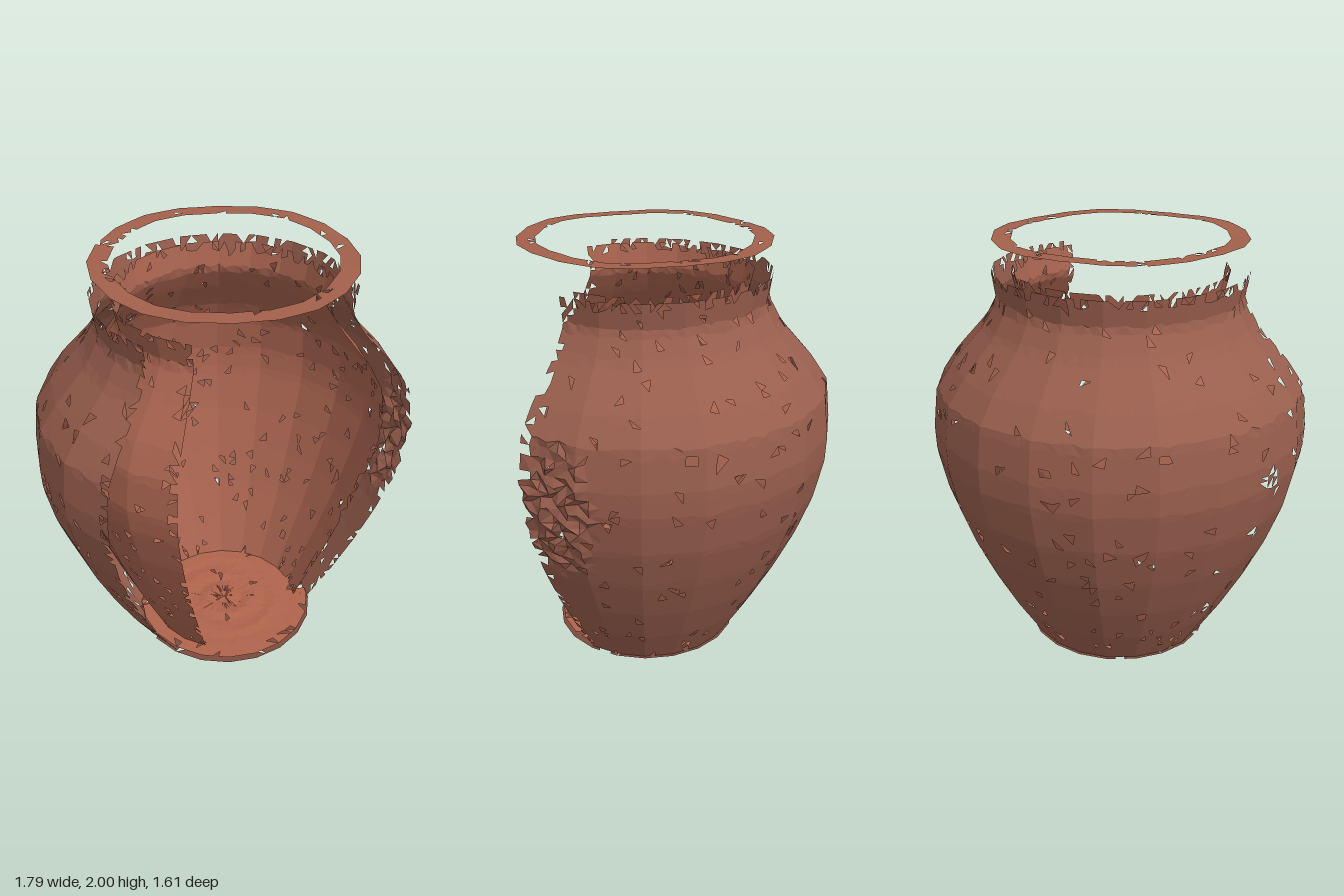
import * as THREE from 'three';

const SIDES = 20, STEP = (2 * Math.PI) / SIDES;
const AXIS_Z = 0.08; // the jar axis sits a little towards the open front

// Profiles as [radius, height], bottom to top
const OUTER = [[0.44, 0.01], [0.56, 0.2], [0.67, 0.4], [0.765, 0.6], [0.84, 0.8], [0.885, 1.0],
  [0.89, 1.12], [0.87, 1.31], [0.79, 1.43], [0.64, 1.6], [0.575, 1.72], [0.595, 1.85]];
const INNER = [[0.37, 0.03], [0.45, 0.2], [0.54, 0.4], [0.62, 0.6], [0.69, 0.8], [0.745, 1.0],
  [0.76, 1.12], [0.74, 1.31], [0.68, 1.43], [0.55, 1.6], [0.475, 1.72], [0.505, 1.85]];

function seeded(seed) {
  let s = seed;
  return () => (s = (s * 16807) % 2147483647) / 2147483647;
}

// Linear lookup along a profile at 0..1 of its height
function profileAt(profile, v) {
  const last = profile.length - 1;
  const y = THREE.MathUtils.lerp(profile[0][1], profile[last][1], v);
  let i = 0;
  while (i < last - 1 && profile[i + 1][1] < y) i++;
  const [r0, y0] = profile[i], [r1, y1] = profile[i + 1];
  return [r0 + (r1 - r0) * (y - y0) / (y1 - y0), y];
}

// Point on a regular 20-sided cross-section whose corners have radius r
function polar(angle, r, y) {
  const off = ((angle % STEP) + STEP) % STEP - STEP / 2;
  const rr = r * Math.cos(STEP / 2) / Math.cos(off);
  return [rr * Math.cos(angle), y, AXIS_Z + rr * Math.sin(angle)];
}

// Crumbling surface: a jittered grid with chips missing and torn edges.
// torn = share of triangles lost along the [u ends, v start, v end]
function erodedSheet(name, color, cols, rows, point, { holes = 0.03, torn = [0, 0, 0], seed = 7, keep = 6 }) {
  const rand = seeded(seed), pos = [], index = [];
  for (let j = 0; j <= rows; j++) {
    for (let i = 0; i <= cols; i++) {
      const du = i % keep ? (rand() - 0.5) * 0.5 : 0; // corner columns stay straight
      const dv = j > 0 && j < rows ? (rand() - 0.5) * 0.5 : 0;
      pos.push(...point((i + du) / cols, (j + dv) / rows));
    }
  }
  const row = cols + 1;
  for (let j = 0; j < rows; j++) {
    for (let i = 0; i < cols; i++) {
      let loss = holes;
      if (i === 0 || i === cols - 1) loss = Math.max(loss, torn[0]);
      if (j === 0) loss = Math.max(loss, torn[1]);
      if (j === rows - 1) loss = Math.max(loss, torn[2]);
      const a = j * row + i, b = a + 1, c = b + row, d = a + row;
      const tris = rand() < 0.5 ? [[a, b, c], [a, c, d]] : [[a, b, d], [b, c, d]];
      for (const t of tris) if (rand() > loss) index.push(...t);
    }
  }
  const geo = new THREE.BufferGeometry();
  geo.setAttribute('position', new THREE.Float32BufferAttribute(pos, 3));
  geo.setIndex(index);
  geo.computeVertexNormals();
  const mesh = new THREE.Mesh(geo, new THREE.MeshStandardMaterial({
    color, side: THREE.DoubleSide, flatShading: true,
  }));
  mesh.name = name;
  return mesh;
}

// Maze-like carving on one flank of the outer wall
function carving(angle, y) {
  const a = (angle - (2 * Math.PI - 0.18)) / 0.22, b = (y - 0.98) / 0.36;
  const mask = Math.max(0, 1 - a * a - b * b);
  return 0.03 * Math.sqrt(mask) * Math.sin(angle * 40 + 2 * Math.sin(y * 22)) * Math.sin(y * 38);
}

export function createModel() {
  const jar = new THREE.Group();
  jar.name = 'brokenJar';
  const full = 2 * Math.PI;

  // Outer wall: 13 of 20 sides, open at the front left
  jar.add(erodedSheet('outerWall', 0x9a5f4e, 13 * 6, 48, (u, v) => {
    const angle = full - u * 13 * STEP;
    const [r, y] = profileAt(OUTER, v);
    return polar(angle, r + carving(angle, y), y);
  }, { torn: [0.3, 0.1, 0.4], seed: 11 }));

  // Inner wall: one side longer than the outer one
  jar.add(erodedSheet('innerWall', 0xa8634f, 14 * 6, 48, (u, v) => {
    const [r, y] = profileAt(INNER, v);
    return polar(6 * STEP + u * 14 * STEP, r, y);
  }, { torn: [0.3, 0.05, 0.4], seed: 23 }));

  // Floor with a faint spiral relief, facing up
  jar.add(erodedSheet('floor', 0xb0644c, SIDES * 3, 10, (u, v) => {
    const relief = 0.008 * Math.sin(u * full + v * 22) * (1 - v);
    return polar(u * full, 0.44 * v, 0.03 + relief);
  }, { holes: 0.01, torn: [0, 0, 0.12], seed: 31, keep: 3 }));

  // Underside of the base
  jar.add(erodedSheet('base', 0x7d4a3e, SIDES * 3, 10, (u, v) => polar(-u * full, 0.45 * v, 0.005),
    { holes: 0.005, torn: [0, 0, 0.08], seed: 43, keep: 3 }));

  // Flat rim ring, detached above the neck
  jar.add(erodedSheet('rimRing', 0xa3604b, SIDES * 4, 3, (u, v) =>
    polar(u * full, 0.5 + 0.088 * v, 1.996 + 0.004 * Math.sin(u * full * 5)),
  { holes: 0.02, torn: [0, 0.06, 0.02], seed: 59, keep: 4 }));

  return jar;
}
